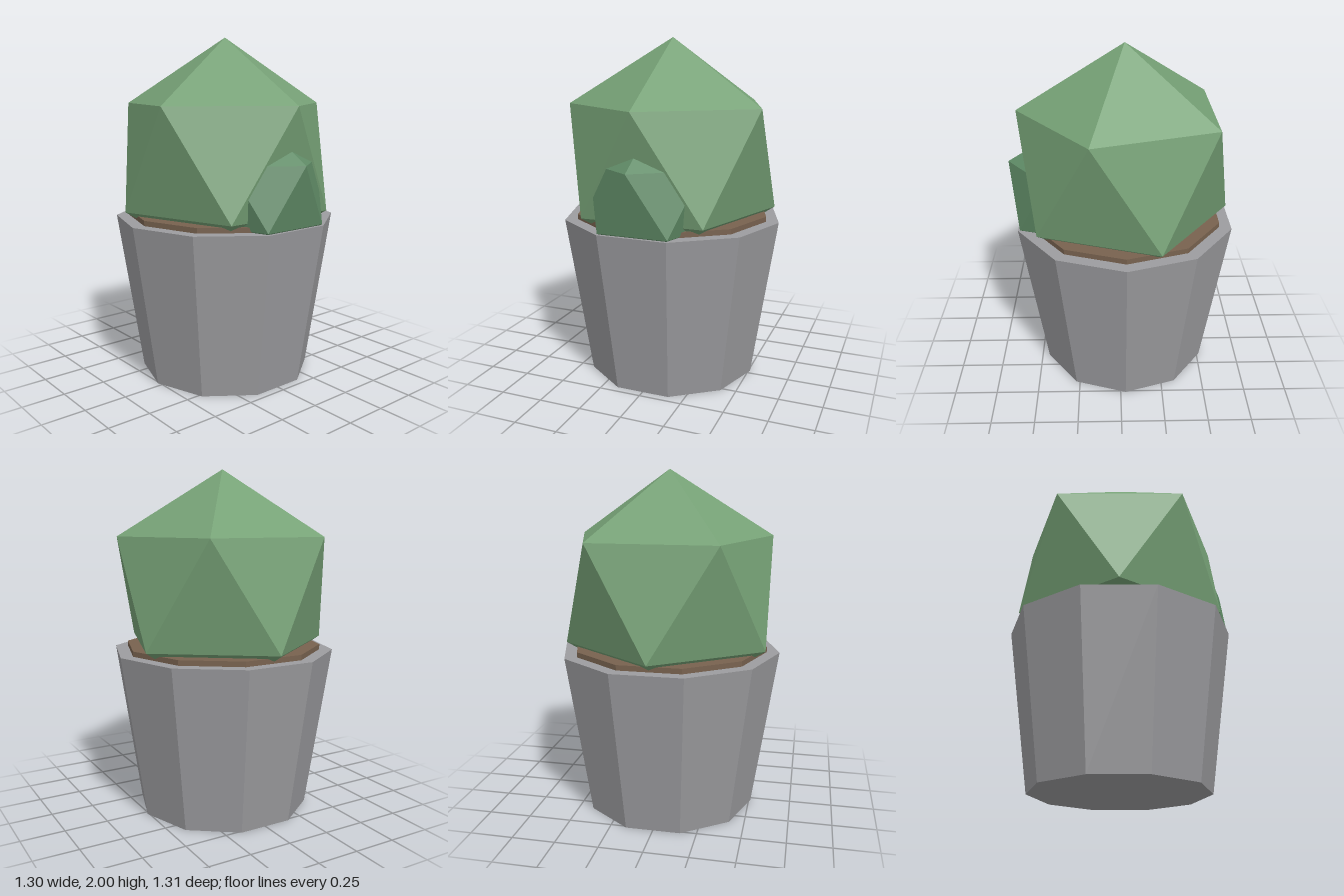
import * as THREE from 'three';

const AXIS_X = -0.03; // shared x of pot, soil and main cactus

export function createModel() {
  const model = new THREE.Group();
  model.name = 'pottedCactus';

  const add = (name, geometry, color, x, y) => {
    const material = new THREE.MeshStandardMaterial({ color, flatShading: true });
    const mesh = new THREE.Mesh(geometry, material);
    mesh.name = name;
    mesh.position.set(x, y, 0);
    model.add(mesh);
  };

  // Icosahedron turned so that one corner points straight up
  const cactus = (radius) => {
    const golden = (1 + Math.sqrt(5)) / 2;
    return new THREE.IcosahedronGeometry(radius, 0).rotateZ(-Math.atan(1 / golden));
  };

  // Tapered ten-sided pot
  add('pot', new THREE.CylinderGeometry(0.655, 0.51, 0.955, 10), 0x9c9c9f, AXIS_X, 0.4775);

  // Soil disc standing slightly above the rim
  add('soil', new THREE.CylinderGeometry(0.58, 0.58, 0.1, 10), 0x78624f, AXIS_X, 0.935);

  // Main cactus and its side shoot, both sunk into the soil
  add('cactusBody', cactus(0.6875), 0x76a176, AXIS_X, 1.3125);
  add('cactusShoot', cactus(0.39), 0x608c67, 0.298, 1.135);

  return model;
}
